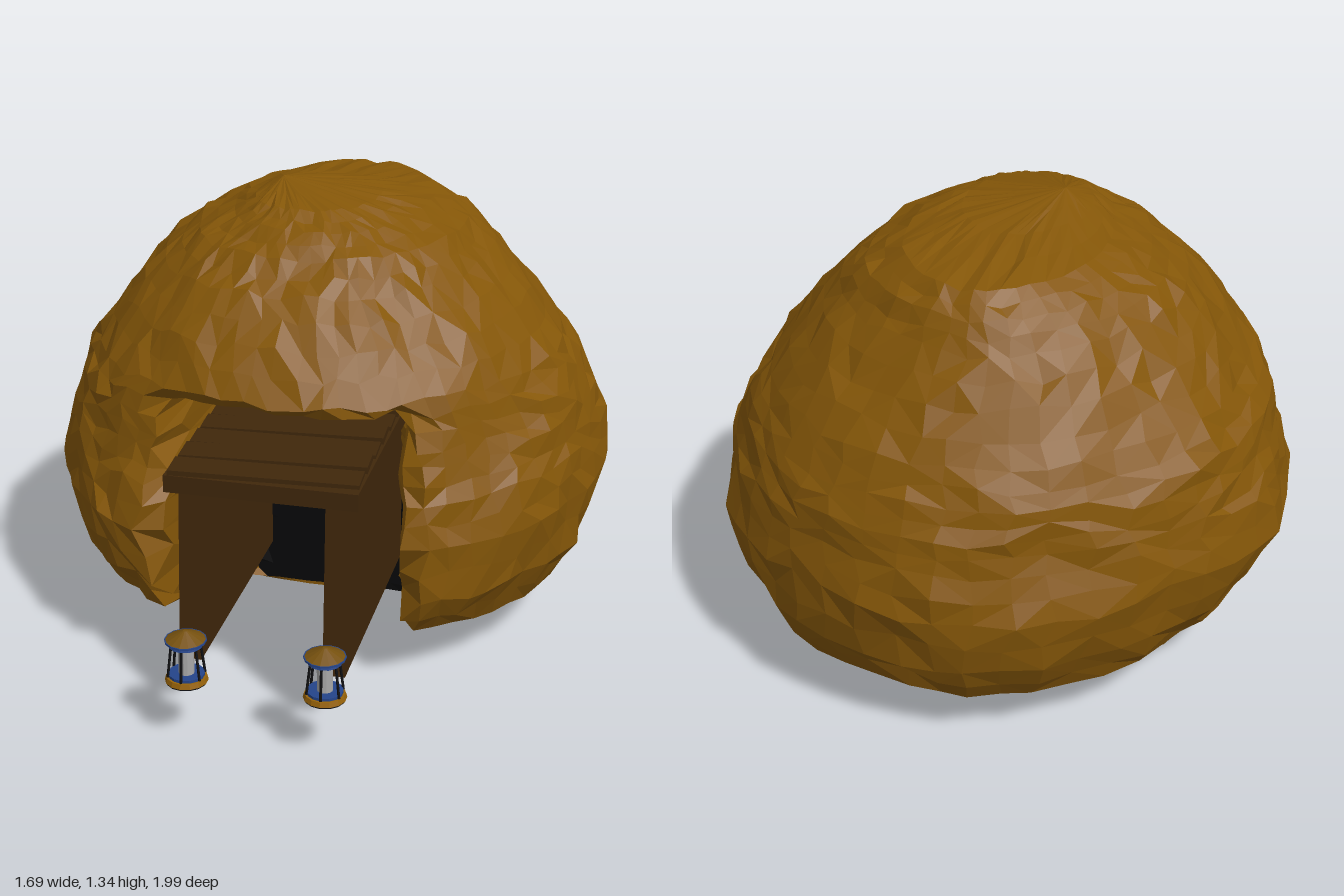
import * as THREE from 'three';

const mat = (name, color, extra = {}) => {
  const m = new THREE.MeshStandardMaterial({ color, flatShading: true, ...extra });
  m.name = name;
  return m;
};

// Repeatable noise in the range -0.5..0.5
const hash = (a, b, c) => {
  const s = Math.sin(a * 127.1 + b * 311.7 + c * 74.7) * 43758.5453;
  return s - Math.floor(s) - 0.5;
};

// Mound cross-sections: height, left x, right x, front z, back z
const SECTIONS = [
  [0.0, 0, 0, -0.34, -0.34],
  [0.014, -0.38, 0.38, -0.06, -0.58],
  [0.033, -0.53, 0.55, 0.14, -0.64],
  [0.085, -0.62, 0.64, 0.37, -0.74],
  [0.17, -0.70, 0.73, 0.63, -0.91],
  [0.3, -0.78, 0.80, 0.71, -0.98],
  [0.47, -0.85, 0.84, 0.70, -0.995],
  [0.6, -0.82, 0.82, 0.67, -0.96],
  [0.69, -0.79, 0.79, 0.64, -0.94],
  [0.78, -0.77, 0.75, 0.62, -0.91],
  [0.87, -0.70, 0.69, 0.61, -0.86],
  [1.0, -0.61, 0.59, 0.53, -0.77],
  [1.12, -0.51, 0.47, 0.42, -0.68],
  [1.2, -0.41, 0.39, 0.33, -0.63],
  [1.255, -0.30, 0.28, 0.25, -0.57],
  [1.295, -0.22, 0.15, 0.17, -0.28],
  [1.34, -0.14, -0.14, -0.03, -0.03],
];

const signedPow = (v, e) => Math.sign(v) * Math.abs(v) ** e;

function buildMound(rock, voidMat) {
  const cols = 56, steps = 2, rows = [];
  const last = SECTIONS.length - 1;
  for (let r = 0; r <= last * steps; r++) {
    const k = Math.min(Math.floor(r / steps), last - 1), f = r / steps - k;
    const [y, xl, xr, zf, zb] = SECTIONS[k].map((v, i) => THREE.MathUtils.lerp(v, SECTIONS[k + 1][i], f));
    const rx = (xr - xl) / 2, rz = (zf - zb) / 2;
    const size = Math.min(1, rx * 2);
    const row = [];
    for (let j = 0; j < cols; j++) {
      const u = (j / cols) * Math.PI * 2;
      const a = u - 0.25 * Math.sin(u) + hash(r, j, 1) * 0.04;
      // Lopsided plan: fuller at front right and back left
      const e = 2 / (2.05 - 0.15 * Math.sin(2 * a) + 0.17 * Math.cos(a));
      const bump = 1 + size * (0.022 * hash(r, j, 2) + 0.008 * Math.sin(5 * a + y * 9) + 0.008 * Math.sin(9 * a - y * 13));
      const x = (xl + xr) / 2 + rx * bump * signedPow(Math.sin(a), e);
      let z = Math.max(-1, (zf + zb) / 2 + rz * bump * signedPow(Math.cos(a), e));
      const py = Math.max(0, y + hash(r, j, 3) * 0.026 * size * Math.min(1, y * 4));
      // Flared recess at the front
      const s = Math.max(Math.abs(x - 0.01) - 0.24, py - 0.73);
      const t = 1 - THREE.MathUtils.smoothstep(s + hash(r, j, 4) * 0.015, 0.0, 0.12);
      if (z > 0.03) z = THREE.MathUtils.lerp(z, 0.03, t);
      row.push({ p: [x, py, z], deep: t > 0.9 && z < 0.13 && z > 0 && py > 0.03 });
    }
    rows.push(row);
  }
  const faces = [[], []];
  const tri = (...v) => faces[v.every(q => q.deep) ? 1 : 0].push(...v.flatMap(q => q.p));
  for (let i = 0; i < rows.length - 1; i++) {
    for (let j = 0; j < cols; j++) {
      const n = (j + 1) % cols;
      const a = rows[i][j], b = rows[i][n], c = rows[i + 1][n], d = rows[i + 1][j];
      if (hash(i, j, 5) > 0) { tri(a, b, c); tri(a, c, d); }
      else { tri(a, b, d); tri(b, c, d); }
    }
  }
  const g = new THREE.BufferGeometry();
  g.setAttribute('position', new THREE.Float32BufferAttribute([...faces[0], ...faces[1]], 3));
  g.addGroup(0, faces[0].length / 3, 0);
  g.addGroup(faces[0].length / 3, faces[1].length / 3, 1);
  g.computeVertexNormals();
  const mesh = new THREE.Mesh(g, [rock, voidMat]);
  mesh.name = 'rockMound';
  return mesh;
}

export function createModel() {
  const root = new THREE.Group();
  root.name = 'mineEntrance';
  const rock = mat('ochreRock', 0x845608, { side: THREE.DoubleSide });
  const wood = mat('darkTimber', 0x40270b);
  const dark = mat('tunnelDark', 0x08080a, { side: THREE.DoubleSide });
  const brass = mat('brass', 0x966209);
  const agedBrass = mat('agedBrass', 0x76510f);
  const blue = mat('blueTrim', 0x24448a);
  const glass = mat('paleGlass', 0xa8a8a8);
  const iron = mat('blackIron', 0x101012);

  const add = (parent, name, geo, material, x = 0, y = 0, z = 0) => {
    const m = new THREE.Mesh(geo, material);
    m.name = name;
    m.position.set(x, y, z);
    parent.add(m);
    return m;
  };

  root.add(buildMound(rock, dark));

  // Timber frame: leaning side walls, roof slab and loose planks
  const frame = new THREE.Group();
  frame.name = 'timberFrame';
  root.add(frame);
  const side = new THREE.Shape([[-0.82, 0.175], [-0.06, 0.175], [-0.06, 0.69], [-0.785, 0.69]]
    .map(([x, y]) => new THREE.Vector2(x, y)));
  for (const [name, x] of [['rightWall', -0.225], ['leftWall', 0.185]]) {
    const wall = add(frame, name, new THREE.ExtrudeGeometry(side, { depth: 0.063, bevelEnabled: false }), wood, x);
    wall.rotation.y = Math.PI / 2;
  }
  add(frame, 'roofSlab', new THREE.BoxGeometry(0.54, 0.05, 0.74), wood, 0.01, 0.7, 0.44);
  for (let i = 0; i < 6; i++) {
    const plank = add(frame, 'roofPlank', new THREE.BoxGeometry(0.525, 0.02, 0.095), wood,
      0.01, 0.728 + 0.005 * (i % 2), 0.745 - i * 0.102);
    plank.rotation.set(0, 0.06, i % 2 ? 0.006 : -0.006);
  }

  // Lanterns in front of the walls
  for (const x of [-0.168, 0.22]) {
    const lamp = new THREE.Group();
    lamp.name = x > 0 ? 'leftLantern' : 'rightLantern';
    lamp.position.set(x, 0.175, 0.935);
    root.add(lamp);
    const cyl = (name, rt, rb, h, y, m) => add(lamp, name, new THREE.CylinderGeometry(rt, rb, h, 14), m, 0, y, 0);
    cyl('basePlate', 0.057, 0.057, 0.006, 0.003, iron);
    cyl('base', 0.056, 0.06, 0.014, 0.012, brass);
    cyl('baseTrim', 0.05, 0.05, 0.008, 0.023, blue);
    cyl('glass', 0.022, 0.022, 0.09, 0.07, glass);
    cyl('topTrim', 0.044, 0.048, 0.014, 0.119, blue);
    cyl('roofRim', 0.058, 0.058, 0.005, 0.127, blue);
    cyl('roof', 0.006, 0.056, 0.026, 0.142, agedBrass);
    for (let i = 0; i < 6; i++) {
      const a = (i / 6) * Math.PI * 2;
      const bar = new THREE.LineCurve3(
        new THREE.Vector3(0.052 * Math.sin(a), 0.02, 0.052 * Math.cos(a)),
        new THREE.Vector3(0.04 * Math.sin(a), 0.118, 0.04 * Math.cos(a)));
      add(lamp, 'bar', new THREE.TubeGeometry(bar, 1, 0.004, 5), iron);
    }
  }
  return root;
}
